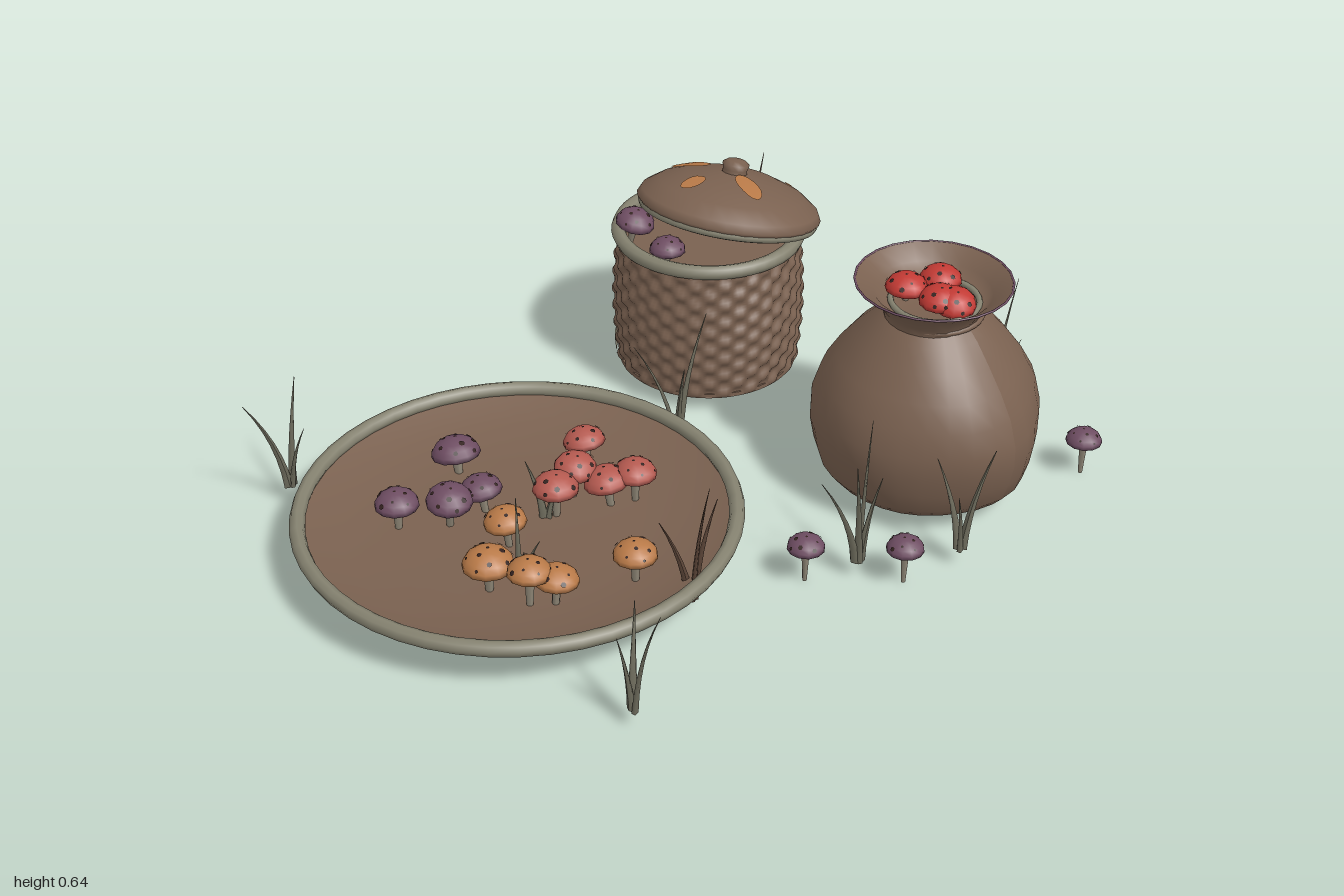
import * as THREE from 'three';

const mat = (name, color) => {
  const m = new THREE.MeshStandardMaterial({ color, side: THREE.DoubleSide });
  m.name = name;
  return m;
};

const lerpProfile = (pts, key, val, t) => {
  // piecewise linear lookup along a list of [r, y] points
  for (let i = 1; i < pts.length; i++) {
    const a = pts[i - 1], b = pts[i];
    if ((t - a[key]) * (t - b[key]) <= 0 && a[key] !== b[key]) {
      return a[val] + (b[val] - a[val]) * (t - a[key]) / (b[key] - a[key]);
    }
  }
  return pts[pts.length - 1][val];
};

export function createModel() {
  const root = new THREE.Group();
  root.name = 'forageSet';
  const brown = mat('brownClay', 0x7a6150), grey = mat('greyMoss', 0x858270);
  const red = mat('redCap', 0xc23a34), salmon = mat('salmonCap', 0xb55a50);
  const orange = mat('orangeCap', 0xb97a48), purple = mat('purpleCap', 0x6e4d62);
  const dark = mat('darkSpot', 0x33221f), stemMat = mat('paleStem', 0x8c8474);
  const grass = mat('greyGrass', 0x6c6a5b), dryGrass = mat('dryGrass', 0x5a4437);

  const add = (parent, name, geo, material, x = 0, y = 0, z = 0) => {
    const m = new THREE.Mesh(geo, material);
    m.name = name;
    m.position.set(x, y, z);
    parent.add(m);
    return m;
  };
  const group = (name, x, y, z) => {
    const g = new THREE.Group();
    g.name = name;
    g.position.set(x, y, z);
    root.add(g);
    return g;
  };
  const lathe = (pts, seg) => new THREE.LatheGeometry(pts.map(p => new THREE.Vector2(...p)), seg);
  const ring = (r, tube, seg = 48) => new THREE.TorusGeometry(r, tube, 8, seg).rotateX(Math.PI / 2);
  const warp = (geo, fn) => {
    const p = geo.attributes.position, v = new THREE.Vector3();
    for (let i = 0; i < p.count; i++) {
      fn(v.fromBufferAttribute(p, i));
      p.setXYZ(i, v.x, v.y, v.z);
    }
    geo.computeVertexNormals();
    return geo;
  };
  // thin ragged patch following a round wall, starting at its foot
  const wallPatch = (radius, phi0, phi1, y0, height) => warp(new THREE.PlaneGeometry(1, 1, 24, 5), v => {
    const u = v.x + 0.5, phi = phi0 + (phi1 - phi0) * u;
    const h = height * Math.sqrt(Math.sin(Math.PI * u)) * (0.8 + 0.2 * Math.sin(phi * 13));
    const y = y0 + (v.y + 0.5) * h, r = radius(y, phi) + 0.004;
    v.set(Math.sin(phi) * r, y, Math.cos(phi) * r);
  });

  // Mushrooms: domed cap, tapering stem and dark spots lying on the cap
  const mushroom = (parent, x, z, r, top, foot, material, tilt = 0) => {
    const g = new THREE.Group();
    g.name = 'mushroom';
    const h = r * 0.75;
    g.position.set(x, top - h, z);
    g.rotation.set(tilt * 0.7, x * 17 + z * 11, tilt);
    parent.add(g);
    const cap = lathe([[0, 0.004], [0.7 * r, 0.003], [r, 0], [0.96 * r, 0.28 * h], [0.82 * r, 0.57 * h],
      [0.57 * r, 0.82 * h], [0.28 * r, 0.96 * h], [0, h]], 12);
    add(g, 'cap', cap, material);
    const len = top - h - foot;
    add(g, 'stem', new THREE.CylinderGeometry(r * 0.24, r * 0.12, len, 7), stemMat, 0, -len / 2 + 0.004, 0);
    for (let i = 0; i < 11; i++) {
      const a = i * 2.4, e = 1.5 - 1.15 * Math.sqrt(i / 11);
      const n = new THREE.Vector3(Math.cos(e) * Math.sin(a), Math.sin(e), Math.cos(e) * Math.cos(a));
      const s = add(g, 'spot', new THREE.CircleGeometry(r * (0.07 + 0.03 * (i % 3)), 6), dark,
        n.x * r * 1.02, n.y * h * 1.03, n.z * r * 1.02);
      s.quaternion.setFromUnitVectors(new THREE.Vector3(0, 0, 1), new THREE.Vector3(n.x / r, n.y / h, n.z / r).normalize());
    }
  };

  // Tray with a rolled rim
  const tray = group('tray', -0.43, 0, -0.09);
  add(tray, 'trayBowl', lathe([[0, 0.05], [0.3, 0.055], [0.44, 0.075], [0.53, 0.11], [0.56, 0.135],
    [0.53, 0.125], [0.44, 0.095], [0.3, 0.08], [0, 0.075]], 48), brown);
  add(tray, 'trayRim', ring(0.548, 0.02), grey, 0, 0.137, 0);

  const onTray = [
    [purple, [[-0.40, -0.39, 0.065], [-0.66, -0.285, 0.057], [-0.56, -0.20, 0.06], [-0.455, -0.21, 0.056]]],
    [salmon, [[-0.13, -0.195, 0.056], [-0.325, -0.07, 0.06], [-0.245, -0.09, 0.056], [-0.20, -0.02, 0.06], [-0.135, 0.015, 0.056]]],
    [orange, [[-0.50, -0.05, 0.055], [-0.64, 0.065, 0.065], [-0.60, 0.175, 0.056], [-0.55, 0.215, 0.056], [-0.355, 0.275, 0.056]]],
  ];
  for (const [m, list] of onTray) {
    list.forEach(([x, z, r], i) => mushroom(root, x, z, r, (m === purple ? 0.18 : 0.19) + 0.012 * (i % 3), 0.04, m, 0.1 * (i % 3 - 1)));
  }
  // Loose mushrooms around the sack
  for (const [x, z] of [[0.03, 0.47], [0.21, 0.635], [0.905, 0.615]]) mushroom(root, x, z, 0.048, 0.14, 0.0, purple);

  // Sack: bulging body, tied neck, flared mouth
  const sack = group('sack', 0.565, 0, 0.36);
  const body = [[0, 0.055], [0.24, 0.055], [0.265, 0.085], [0.283, 0.14], [0.295, 0.2], [0.295, 0.26], [0.275, 0.33],
    [0.24, 0.39], [0.195, 0.45], [0.15, 0.5], [0.122, 0.525]];
  const lump = (phi, y) => 1 + (y < 0.5 ? 0.022 * Math.sin(phi * 3 + 1 + y * 5) + 0.012 * Math.sin(phi * 5 + y * 9) : 0);
  add(sack, 'sackBody', warp(lathe(body, 30), v => {
    const k = lump(Math.atan2(v.x, v.z), v.y);
    v.x *= k; v.z *= k;
  }), brown);
  add(sack, 'sackMouth', lathe([[0.122, 0.52], [0.125, 0.54], [0.155, 0.58], [0.2, 0.617], [0.197, 0.617],
    [0.15, 0.585], [0.12, 0.55], [0, 0.55]], 24), brown, -0.008);
  add(sack, 'neckCord', ring(0.122, 0.008, 30), brown, 0, 0.53, 0);
  add(sack, 'mouthCord', ring(0.112, 0.008, 30), grey, 0, 0.556, 0);
  add(sack, 'mouthEdge', ring(0.199, 0.003, 24), purple, -0.008, 0.616, 0);
  add(sack, 'sackMoss', wallPatch((y, phi) => lerpProfile(body.slice(1), 1, 0, y) * lump(phi, y), 0.75, 2.1, 0.057, 0.085), grey);
  [[-0.048, -0.055], [0.05, -0.03], [-0.02, 0.035], [0.0, 0.065]].forEach(([x, z], i) =>
    mushroom(sack, x, z, 0.055, 0.625 - 0.004 * i, 0.54, red, 0.08 * (i - 1)));

  // Woven basket
  const basket = group('basket', 0.515, 0, -0.435);
  const wall = y => 0.25 + 0.012 * Math.sin(Math.PI * Math.min(1, (y - 0.05) / 0.38));
  const weave = warp(new THREE.CylinderGeometry(1, 1, 0.39, 120, 56, true).translate(0, 0.245, 0), v => {
    const phi = Math.atan2(v.x, v.z);
    const r = wall(v.y) + 0.008 * Math.sin(phi * 20) * Math.sin((v.y - 0.05) * Math.PI * 14 / 0.39);
    v.x = Math.sin(phi) * r; v.z = Math.cos(phi) * r;
  });
  add(basket, 'basketWeave', weave, brown);
  add(basket, 'basketBase', new THREE.CylinderGeometry(0.25, 0.25, 0.01, 48), brown, 0, 0.057, 0);
  add(basket, 'basketFill', new THREE.CylinderGeometry(0.245, 0.245, 0.01, 48), brown, 0, 0.38, 0);
  add(basket, 'basketRim', ring(0.248, 0.02), grey, 0, 0.448, 0);
  add(basket, 'basketMoss', wallPatch(y => wall(y) + 0.004, 2.1, 4.1, 0.052, 0.11), grey);
  mushroom(basket, -0.155, -0.13, 0.055, 0.505, 0.38, purple, 0.15);
  mushroom(basket, -0.15, 0.0, 0.05, 0.47, 0.38, purple);

  // Tilted lid with knob and painted blotches
  const lid = group('lid', 0.565, 0.503, -0.41);
  lid.rotation.set(-0.06, 0, -0.26);
  const dome = [[0.255, 0.005], [0.245, 0.025], [0.2, 0.058], [0.13, 0.085], [0.045, 0.1], [0, 0.103]];
  add(lid, 'lidDome', lathe([[0, -0.004], [0.245, -0.008], ...dome], 32), brown);
  add(lid, 'lidKnob', lathe([[0.036, 0.095], [0.034, 0.11], [0.038, 0.125], [0.025, 0.135], [0, 0.137]], 12), brown);
  add(lid, 'lidLip', ring(0.236, 0.014), grey, 0, -0.009, 0);
  for (const [x, z, rx, rz, turn] of [[-0.05, -0.12, 0.034, 0.055, 0.5], [-0.15, 0, 0.038, 0.025, 0],
    [-0.04, 0.1, 0.03, 0.062, -0.3], [0.135, 0.08, 0.011, 0.011, 0]]) {
    const blotch = new THREE.CircleGeometry(1, 16).rotateX(-Math.PI / 2).scale(rx, 1, rz).rotateY(turn).translate(x, 0, z);
    add(lid, 'lidBlotch', warp(blotch, v => { v.y = lerpProfile(dome, 0, 1, Math.hypot(v.x, v.z)) + 0.007; }), orange);
  }

  // Grass tufts: base x, z, foot height, material, then blade tips as [dx, dz, height]
  const tufts = [
    [-0.74, -0.655, 0.05, grass, [[-0.12, 0.01, 0.3], [0.07, -0.05, 0.28], [0.02, 0.06, 0.2]]],
    [0.17, -0.17, 0.05, grass, [[-0.1, -0.06, 0.29], [0.1, 0, 0.34], [-0.02, 0.05, 0.24]]],
    [0.14, 0.545, 0.05, grass, [[-0.1, -0.04, 0.26], [0.09, -0.06, 0.35], [0.05, 0.02, 0.24], [-0.03, 0.01, 0.3]]],
    [0.37, 0.675, 0.05, grass, [[-0.03, -0.07, 0.25], [0.07, 0.03, 0.28], [-0.08, 0.05, 0.22]]],
    [0.88, 0.3, 0.05, grass, [[0.12, -0.03, 0.36], [0.03, 0.07, 0.25], [-0.02, -0.04, 0.28]]],
    [0.89, -0.68, 0.05, dryGrass, [[0.11, -0.05, 0.35], [-0.08, 0, 0.24], [-0.03, 0.07, 0.28]]],
    [-0.27, 0.385, 0.05, dryGrass, [[-0.07, -0.04, 0.24], [0.08, 0, 0.26], [0, 0.06, 0.36]]],
    [-0.64, 0.6, 0.05, grass, [[-0.01, 0.11, 0.34], [0.06, -0.06, 0.25], [-0.02, -0.03, 0.2]]],
    [-0.56, 0.08, 0.06, grass, [[0.05, -0.07, 0.2], [-0.02, 0.05, 0.14], [0.05, 0.02, 0.12]]],
    [-0.35, -0.08, 0.06, grass, [[-0.03, -0.04, 0.18], [0.04, 0.02, 0.14]]],
  ];
  tufts.forEach(([x, z, foot, material, blades], n) => {
    const tuft = group('grassTuft', x, foot, z);
    blades.forEach(([dx, dz, h], i) => {
      const blade = new THREE.CylinderGeometry(0.001, 0.014, h, 5, 6).translate(0, h / 2, 0).scale(1, 1, 0.6).rotateY(n + i * 2);
      add(tuft, 'grassBlade', warp(blade, v => {
        const t = v.y / h, bend = 0.3 * t + 0.7 * t * t;
        v.x += dx * (0.08 + 0.92 * bend);
        v.z += dz * (0.08 + 0.92 * bend);
      }), material);
    });
  });

  return root;
}
